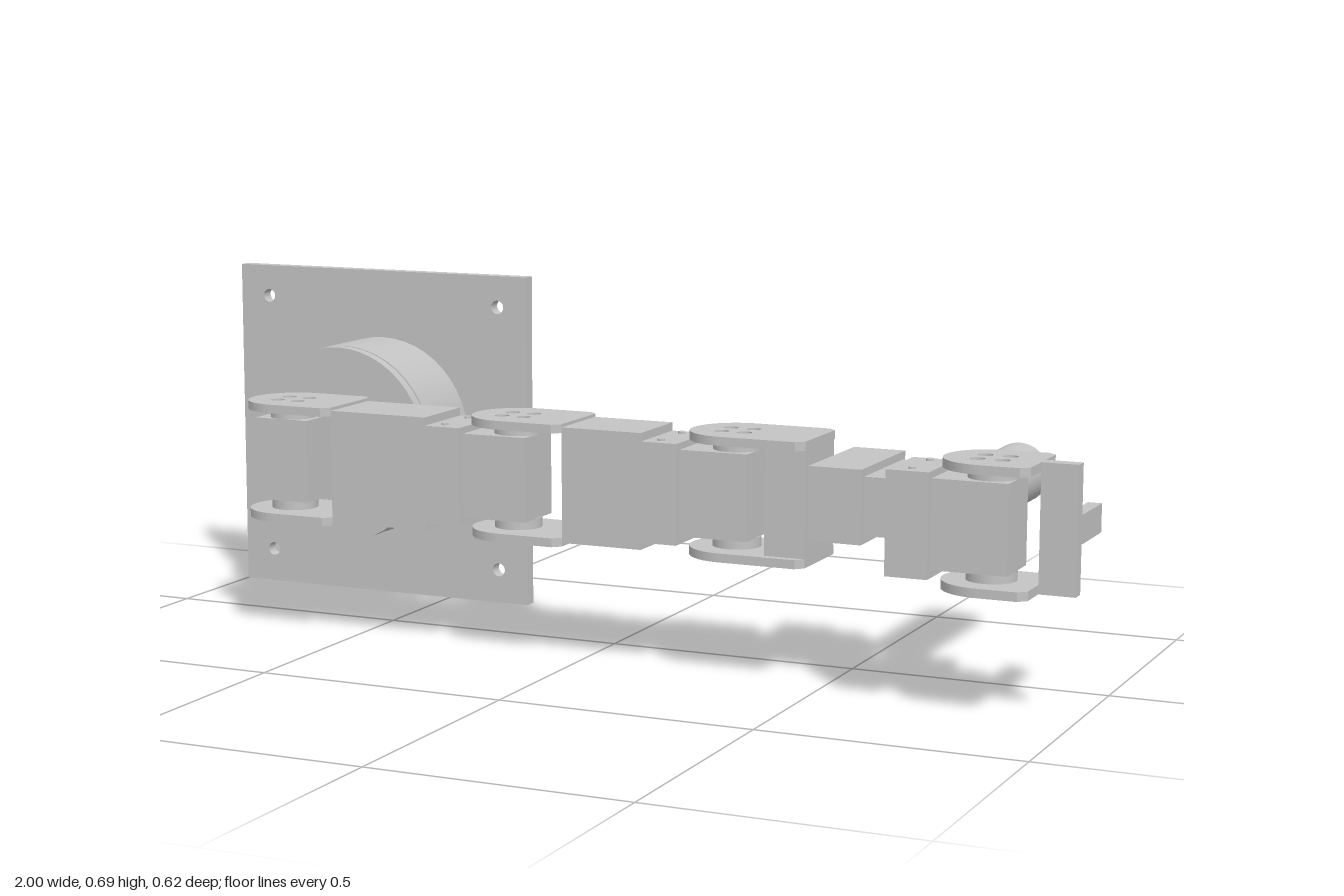
import * as THREE from 'three';

const MID = 0.347; // height of the arm axis

export function createModel() {
  const model = new THREE.Group();
  model.name = 'robotArm';
  const grey = new THREE.MeshStandardMaterial({ color: 0xc4c4c4 });
  grey.name = 'metalGrey';

  const add = (name, geometry, parent = model) => {
    const mesh = new THREE.Mesh(geometry, grey);
    mesh.name = name;
    parent.add(mesh);
    return mesh;
  };
  // Box given by its limits on each axis
  const box = (name, x0, x1, y0, y1, z0, z1, parent) => {
    const m = add(name, new THREE.BoxGeometry(x1 - x0, y1 - y0, z1 - z0), parent);
    m.position.set((x0 + x1) / 2, (y0 + y1) / 2, (z0 + z1) / 2);
    return m;
  };
  // Cylinder along an axis, centred on a point
  const rod = (name, axis, r, length, x, y, z, parent) => {
    const g = new THREE.CylinderGeometry(r, r, length, 48);
    if (axis === 'x') g.rotateZ(Math.PI / 2);
    if (axis === 'z') g.rotateX(Math.PI / 2);
    add(name, g, parent).position.set(x, y, z);
  };
  const punch = (shape, x, y, r) => {
    const hole = new THREE.Path();
    hole.absarc(x, y, r, 0, Math.PI * 2, true);
    shape.holes.push(hole);
  };

  // Mounting plate with bolt holes
  const plate = new THREE.Shape();
  plate.moveTo(-1, 0).lineTo(-0.315, 0).lineTo(-0.315, 0.69).lineTo(-1, 0.69).closePath();
  for (const x of [-0.932, -0.382]) for (const y of [0.07, 0.625]) punch(plate, x, y, 0.014);
  for (const y of [0.295, 0.385]) punch(plate, -0.795, y, 0.012);
  add('mountingPlate', new THREE.ExtrudeGeometry(plate, { depth: 0.027, bevelEnabled: false }))
    .position.z = -0.272;

  // Turning base: drum, shaft and disc
  rod('baseDrum', 'z', 0.202, 0.163, -0.655, MID, -0.1645);
  rod('baseShaft', 'z', 0.05, 0.03, -0.655, MID, -0.08);
  rod('baseDisc', 'z', 0.202, 0.023, -0.655, MID, -0.0665);

  // Fork plate: round about the joint, square at the far end, four screw holes
  const forkPlate = (reach) => {
    const r = 0.09, c = 0.015, s = new THREE.Shape();
    s.moveTo(0, -r).lineTo(reach - c, -r).lineTo(reach, -r + c);
    s.lineTo(reach, r - c).lineTo(reach - c, r).lineTo(0, r);
    s.absarc(0, 0, r, Math.PI / 2, Math.PI * 1.5, false);
    for (const x of [-0.023, 0.023]) for (const y of [-0.023, 0.023]) punch(s, x, y, 0.014);
    const g = new THREE.ExtrudeGeometry(s, { depth: 0.017, bevelEnabled: false, curveSegments: 24 });
    return g.rotateX(-Math.PI / 2);
  };
  // Joint: servo, two horns and the fork around them
  const joint = (name, x, z, reach, servo) => {
    const g = new THREE.Group();
    g.name = name;
    model.add(g);
    box('servo', servo[0], servo[1], 0.265, 0.43, servo[2], servo[3], g);
    for (const side of [-1, 1]) {
      rod('servoHorn', 'y', 0.046, 0.02, x, MID + side * 0.091, z, g);
      rod('screwPattern', 'y', 0.042, 0.006, x, MID + side * 0.102, z, g);
      add('forkPlate', forkPlate(reach), g).position.set(x, side > 0 ? 0.448 : 0.229, z);
    }
  };
  joint('shoulderJoint', -0.655, 0.12, 0.13, [-0.715, -0.597, 0.02, 0.167]);
  joint('elbowJoint', -0.15, 0.12, 0.13, [-0.25, -0.107, 0.063, 0.178]);
  joint('forearmJoint', 0.31, 0.12, 0.165, [0.2, 0.353, 0.063, 0.178]);
  joint('gripperJoint', 0.84, 0.22, 0.09, [0.73, 0.886, 0.163, 0.278]);

  // Servo brackets
  box('shoulderBracket', -0.727, -0.59, 0.25, 0.443, -0.055, 0.03);
  box('elbowBracket', -0.315, -0.24, 0.25, 0.443, 0.048, 0.195);
  box('forearmBracket', 0.145, 0.217, 0.25, 0.443, 0.048, 0.195);
  box('gripperBracket', 0.665, 0.745, 0.25, 0.443, 0.148, 0.295);

  // Bracket screws on upper and lower faces
  const screws = [[-0.705, -0.018], [-0.61, -0.018]];
  for (const [x, z] of [[-0.285, 0.12], [0.175, 0.12], [0.705, 0.22]])
    for (const d of [-0.048, 0.048]) screws.push([x, z + d]);
  for (const [x, z] of screws)
    for (const y of [0.249, 0.444]) rod('bracketScrew', 'y', 0.007, 0.006, x, y, z);

  // Arm links
  box('upperArm', -0.525, -0.315, 0.236, 0.459, 0.048, 0.195);
  box('forearm', -0.02, 0.145, 0.236, 0.459, 0.048, 0.195);
  box('forkWeb', 0.395, 0.475, 0.246, 0.449, 0.048, 0.195);

  // Wrist servo and its turning plate
  box('wristServo', 0.475, 0.578, 0.278, 0.418, -0.06, 0.18);
  box('wristServoCap', 0.578, 0.64, 0.293, 0.403, -0.045, 0.165);
  rod('wristHorn', 'x', 0.055, 0.014, 0.647, MID, 0.12);
  box('wristPlate', 0.652, 0.668, 0.31, 0.385, 0.013, 0.205);
  for (const z of [0.1, 0.145])
    for (const y of [0.325, 0.37]) rod('wristScrew', 'x', 0.014, 0.006, 0.669, y, z);

  // Side cylinder held by the wrist plate
  rod('sideCylinder', 'z', 0.059, 0.347, 0.725, MID, -0.1405);
  box('cylinderMount', 0.66, 0.68, 0.31, 0.385, 0.013, 0.055);

  // End plate and finger
  box('endPlate', 0.93, 0.998, 0.229, 0.465, 0.205, 0.233);
  box('finger', 0.974, 1, 0.32, 0.373, 0.085, 0.207);

  // Centre depth on the origin
  model.children.forEach((part) => { part.position.z += 0.0; });
  return model;
}
